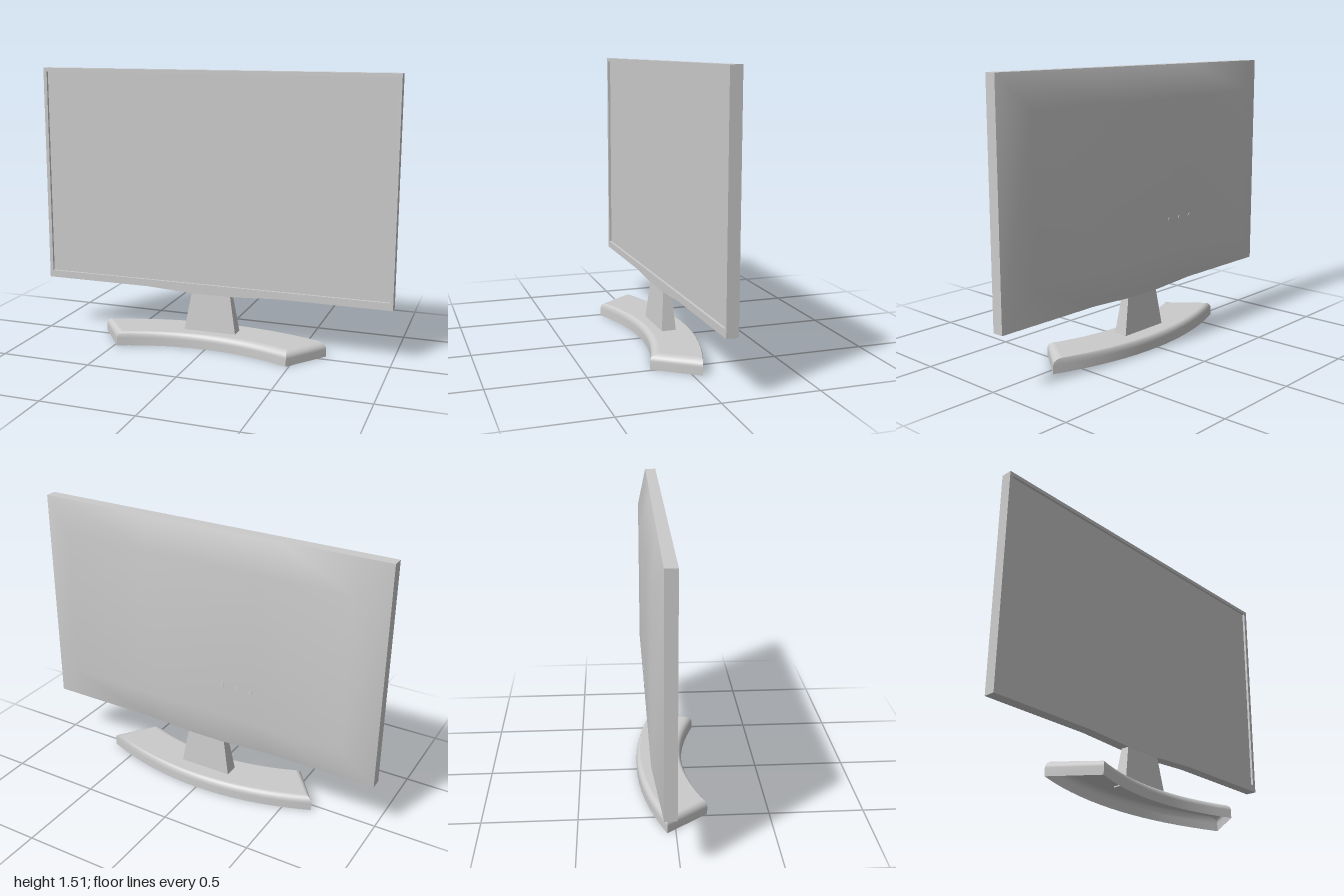
import * as THREE from 'three';

const grey = new THREE.MeshStandardMaterial({ color: 0xcccccc, side: THREE.DoubleSide });

function addMesh(parent, name, geometry) {
  const mesh = new THREE.Mesh(geometry, grey);
  mesh.name = name;
  parent.add(mesh);
  return mesh;
}

function indexed(positions, index) {
  const g = new THREE.BufferGeometry();
  g.setAttribute('position', new THREE.Float32BufferAttribute(positions, 3));
  g.setIndex(index);
  g.computeVertexNormals();
  return g;
}

// Smooth grid surface from a point rule fn(u, v) -> [x, y, z]
function surface(fn, nu, nv) {
  const pos = [], idx = [];
  for (let j = 0; j <= nv; j++)
    for (let i = 0; i <= nu; i++) pos.push(...fn(i / nu, j / nv));
  for (let j = 0; j < nv; j++)
    for (let i = 0; i < nu; i++) {
      const a = j * (nu + 1) + i, b = a + 1, c = b + nu + 1, d = a + nu + 1;
      idx.push(a, b, c, a, c, d);
    }
  return indexed(pos, idx);
}

// Bezel: plate with a slightly dropped chin and a rectangular opening
const chin = [[-1, 0.3], [-0.38, 0.3], [-0.11, 0.285], [0.11, 0.285], [0.38, 0.3], [1, 0.3]];
const TOP = 1.515;

function buildScreen() {
  const screen = new THREE.Group();
  screen.name = 'screen';

  const outline = [...chin, [1, TOP], [-1, TOP]].map(p => new THREE.Vector2(...p));
  const shape = new THREE.Shape(outline);
  const opening = [[-0.98, 0.34], [-0.98, 1.495], [0.98, 1.495], [0.98, 0.34]];
  shape.holes.push(new THREE.Path(opening.map(p => new THREE.Vector2(...p))));
  const bezel = new THREE.ExtrudeGeometry(shape, { depth: 0.062, bevelEnabled: false });
  addMesh(screen, 'bezel', bezel.translate(0, 0, -0.08));

  // Recessed display panel
  const panel = addMesh(screen, 'displayPanel', new THREE.PlaneGeometry(1.96, 1.155));
  panel.position.set(0, 0.9175, -0.032);

  // Rear shell: rim ring sloping back to a smaller flat ring, smooth shaded
  const n = chin.length, rim = [], inner = [], idx = [];
  chin.forEach(([x, y]) => {
    rim.push(x, y, -0.08);
    inner.push(x * 0.83, 0.49, -0.131);
  });
  [...chin].reverse().forEach(([x]) => {
    rim.push(x, TOP, -0.08);
    inner.push(x * 0.83, 1.34, -0.131);
  });
  const m = 2 * n;
  for (let i = 0; i < m; i++) {
    const k = (i + 1) % m;
    idx.push(i, m + i, m + k, i, m + k, k);
  }
  for (let i = 0; i < n - 1; i++) {
    const a = m + i, b = a + 1, d = m + m - 1 - i, c = d - 1;
    idx.push(a, c, b, a, d, c);
  }
  addMesh(screen, 'rearShell', indexed([...rim, ...inner], idx));

  // Row of small round buttons on the rear
  [-0.14, -0.225, -0.31].forEach(x => {
    const g = new THREE.CylinderGeometry(0.0125, 0.0125, 0.003, 12).rotateX(Math.PI / 2);
    addMesh(screen, 'rearButton', g).position.set(x, 0.682, -0.142);
  });
  return screen;
}

// Tapered neck, leaning slightly back
function buildNeck() {
  const g = new THREE.BoxGeometry(1, 1, 1);
  const p = g.attributes.position;
  for (let i = 0; i < p.count; i++) {
    const up = p.getY(i) > 0, front = p.getZ(i) > 0;
    const x = Math.sign(p.getX(i)) * (up ? 0.112 : 0.15);
    const z = front ? (up ? -0.02 : 0) : (up ? -0.066 : -0.08);
    p.setXYZ(i, x, up ? 0.29 : 0.072, z);
  }
  g.computeVertexNormals();
  return g;
}

// Curved foot: hollow shell with open underside and rounded upper edge
function buildFoot() {
  const foot = new THREE.Group();
  foot.name = 'foot';
  // Corners run front right-hand, front left-hand, rear left-hand, rear right-hand
  const outer = [[-0.485, 0.175], [0.485, 0.175], [0.65, -0.045], [-0.65, -0.045]];
  const inner = [[-0.46, 0.15], [0.48, 0.125], [0.602, -0.06], [-0.61, -0.03]];
  const outerSag = [0.1, 0, 0.135, 0], innerSag = [0.088, 0, 0.113, 0];
  const edge = (corners, sag, i, t) => {
    const a = corners[i], b = corners[(i + 1) % 4];
    return [a[0] + (b[0] - a[0]) * t, a[1] + (b[1] - a[1]) * t - sag[i] * 4 * t * (1 - t)];
  };

  // Four walls: straight lower part, then a quarter-round to the top
  ['frontWall', 'leftWall', 'backWall', 'rightWall'].forEach((name, i) => {
    const steps = 7;
    addMesh(foot, name, surface((u, v) => {
      const s = Math.max(0, (v * steps - 1) / (steps - 1)) * Math.PI / 2;
      const k = 1 - Math.cos(s);
      const y = v === 0 ? 0 : 0.042 + 0.036 * Math.sin(s);
      const o = edge(outer, outerSag, i, u), q = edge(inner, innerSag, i, u);
      return [o[0] + (q[0] - o[0]) * k, y, o[1] + (q[1] - o[1]) * k];
    }, i % 2 ? 1 : 16, steps));
  });

  // Flat top between the front and rear arcs
  addMesh(foot, 'footTop', surface((u, v) => {
    const f = edge(inner, innerSag, 0, u), b = edge(inner, innerSag, 2, 1 - u);
    return [f[0] + (b[0] - f[0]) * v, 0.078, f[1] + (b[1] - f[1]) * v];
  }, 16, 1));
  return foot;
}

export function createModel() {
  const model = new THREE.Group();
  model.name = 'monitor';
  model.add(buildScreen());
  addMesh(model, 'neck', buildNeck());
  model.add(buildFoot());
  return model;
}
